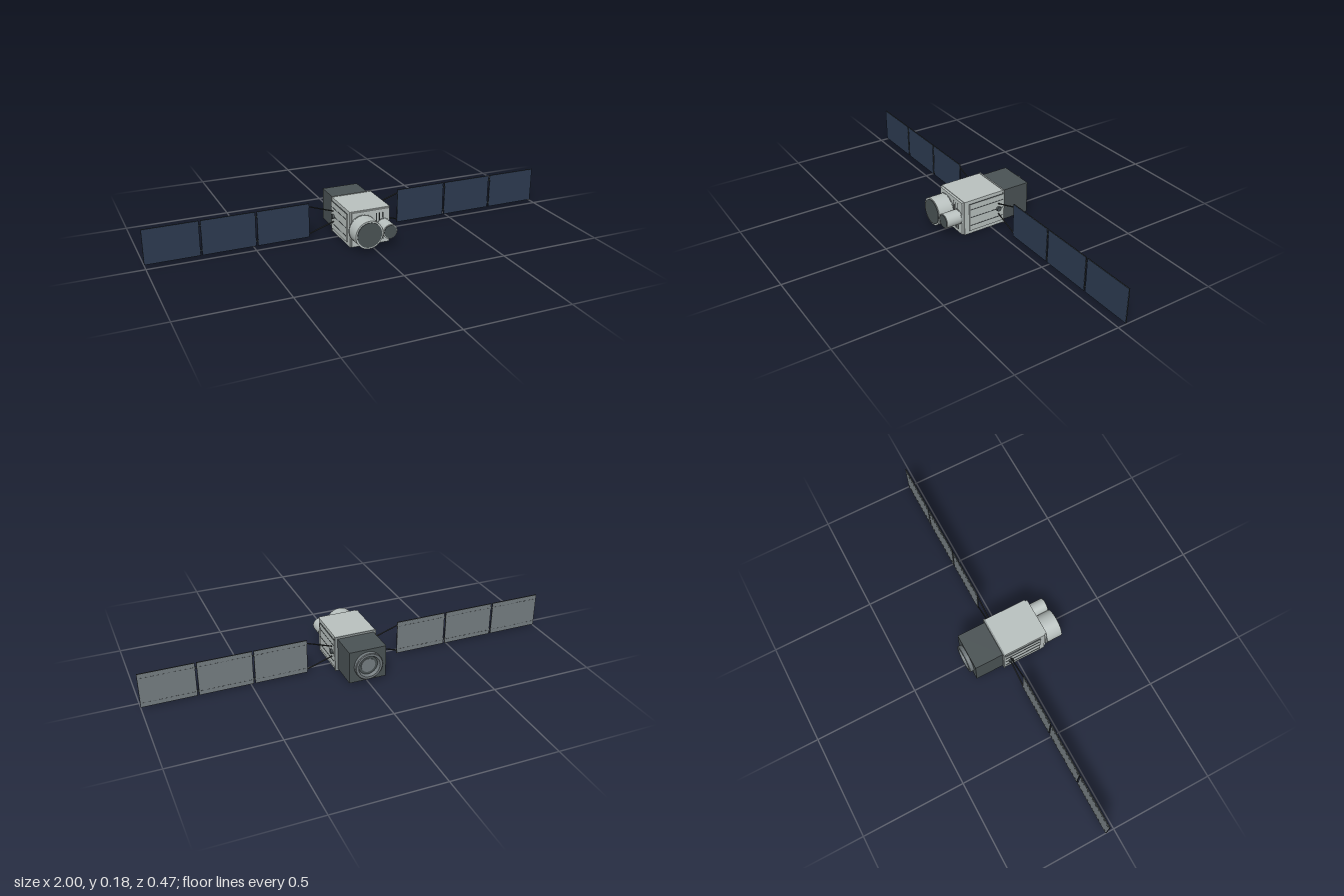
import * as THREE from 'three';

export function createModel() {
  const model = new THREE.Group();
  const mat = (name, color, side = THREE.FrontSide) => {
    const m = new THREE.MeshStandardMaterial({ color, side });
    m.name = name;
    return m;
  };
  const hull = mat('light grey hull', 0xb9c1bf);
  const trim = mat('mid grey trim', 0x8c9494);
  const dark = mat('dark grey', 0x4a5254, THREE.DoubleSide);
  const black = mat('near black', 0x2a2f30);
  const blue = mat('solar blue', 0x2c3a50);
  const backing = mat('panel backing grey', 0x757d81);
  const CY = 0.089, WING_Z = -0.04;

  const add = (name, geo, material, x = 0, y = 0, z = 0, parent = model) => {
    const mesh = new THREE.Mesh(geo, material);
    mesh.name = name;
    mesh.position.set(x, y, z);
    parent.add(mesh);
    return mesh;
  };
  const box = (name, w, h, d, material, x, y, z, parent) =>
    add(name, new THREE.BoxGeometry(w, h, d), material, x, y, z, parent);
  // Cylinder lying along z between two depths
  const barrel = (name, r, z0, z1, material, x, y, sides = 40) =>
    add(name, new THREE.CylinderGeometry(r, r, z1 - z0, sides).rotateX(Math.PI / 2),
      material, x, y, (z0 + z1) / 2);
  // Straight rod between two points
  const rod = (name, a, b, r, material, parent) => {
    const geo = new THREE.TubeGeometry(new THREE.LineCurve3(a, b), 1, r, 6);
    return add(name, geo, material, 0, 0, 0, parent);
  };

  // Main body, front plate and rear flange
  box('body', 0.2, 0.173, 0.213, hull, 0, CY, 0.0365);
  box('frontPlate', 0.188, 0.167, 0.012, hull, 0, CY, 0.148);
  box('rearFlange', 0.206, 0.177, 0.008, trim, 0, CY, -0.071);

  // Rear equipment box
  box('rearBox', 0.18, 0.157, 0.14, dark, 0, CY, -0.145);

  // Rear docking ring with recessed centre
  const ring = [[0.05, 0], [0.067, 0], [0.067, 0.018], [0.064, 0.0205], [0.053, 0.0205], [0.046, 0.006], [0.05, 0]]
    .map(([r, h]) => new THREE.Vector2(r, h));
  const ringGeo = new THREE.LatheGeometry(ring, 28).toNonIndexed();
  ringGeo.computeVertexNormals();
  ringGeo.rotateX(-Math.PI / 2);
  add('dockingRing', ringGeo, mat('ring grey', 0x6f777a, THREE.DoubleSide), 0, CY, -0.2145);
  barrel('ringRecess', 0.05, -0.218, -0.214, dark, 0, CY);
  barrel('ringCentre', 0.034, -0.222, -0.214, backing, 0, CY);

  // Two front instrument barrels with dark apertures
  for (const [name, x, r, lens] of [['large', -0.041, 0.0675, 0.06], ['small', 0.062, 0.035, 0.031]]) {
    barrel(name + 'Collar', r + 0.0015, 0.153, 0.158, trim, x, CY);
    barrel(name + 'Barrel', r, 0.157, 0.232, hull, x, CY);
    barrel(name + 'Lens', lens, 0.231, 0.235, dark, x, CY);
  }

  // Vertical vents on the front plate
  for (const x of [0.027, 0.044, 0.061])
    box('frontVent', 0.004, 0.135, 0.003, black, x, CY, 0.1545);

  for (const s of [-1, 1]) {
    const side = new THREE.Group();
    side.name = s > 0 ? 'leftWing' : 'rightWing';
    model.add(side);

    // Side radiator plate with grooves
    box('radiator', 0.005, 0.137, 0.186, hull, s * 0.1025, CY, 0.025, side);
    for (const y of [0.047, 0.089, 0.13])
      box('radiatorGroove', 0.002, 0.003, 0.18, dark, s * 0.1052, y, 0.025, side);
    for (const y of [0.0205, 0.1575])
      box('radiatorEdge', 0.004, 0.002, 0.186, dark, s * 0.1025, y, 0.025, side);

    // Wing hub and forked yoke
    add('hub', new THREE.CylinderGeometry(0.012, 0.012, 0.014, 8).rotateZ(Math.PI / 2),
      dark, s * 0.107, CY, WING_Z, side);
    for (const t of [-1, 1])
      rod('yokeRod', new THREE.Vector3(s * 0.098, CY + t * 0.024, WING_Z),
        new THREE.Vector3(s * 0.231, CY + t * 0.069, WING_Z), 0.003, black, side);

    // Three solar panels, each a dark core with a blue face and grey back
    for (let i = 0; i < 3; i++) {
      const w = 0.252, h = 0.168, x = s * (0.228 + i * 0.26 + w / 2);
      box('panelCore', w, h, 0.004, black, x, CY, WING_Z, side);
      box('panelCells', w - 0.002, h - 0.002, 0.001, blue, x, CY, WING_Z + 0.0025, side);
      box('panelBack', w - 0.002, h - 0.003, 0.001, backing, x, CY, WING_Z - 0.0025, side);
      // Dashed stiffeners along the back
      for (const t of [-1, 1])
        for (let k = 0; k < 10; k++)
          box('backDash', 0.013, 0.002, 0.001, dark, x + (k - 4.5) * 0.0245, CY + t * 0.062, WING_Z - 0.0032, side);
      // Hinges joining neighbouring panels
      if (i < 2)
        for (const t of [-1, 1])
          box('hinge', 0.01, 0.008, 0.003, black, x + s * (w / 2 + 0.004), CY + t * 0.06, WING_Z, side);
    }
  }
  return model;
}
